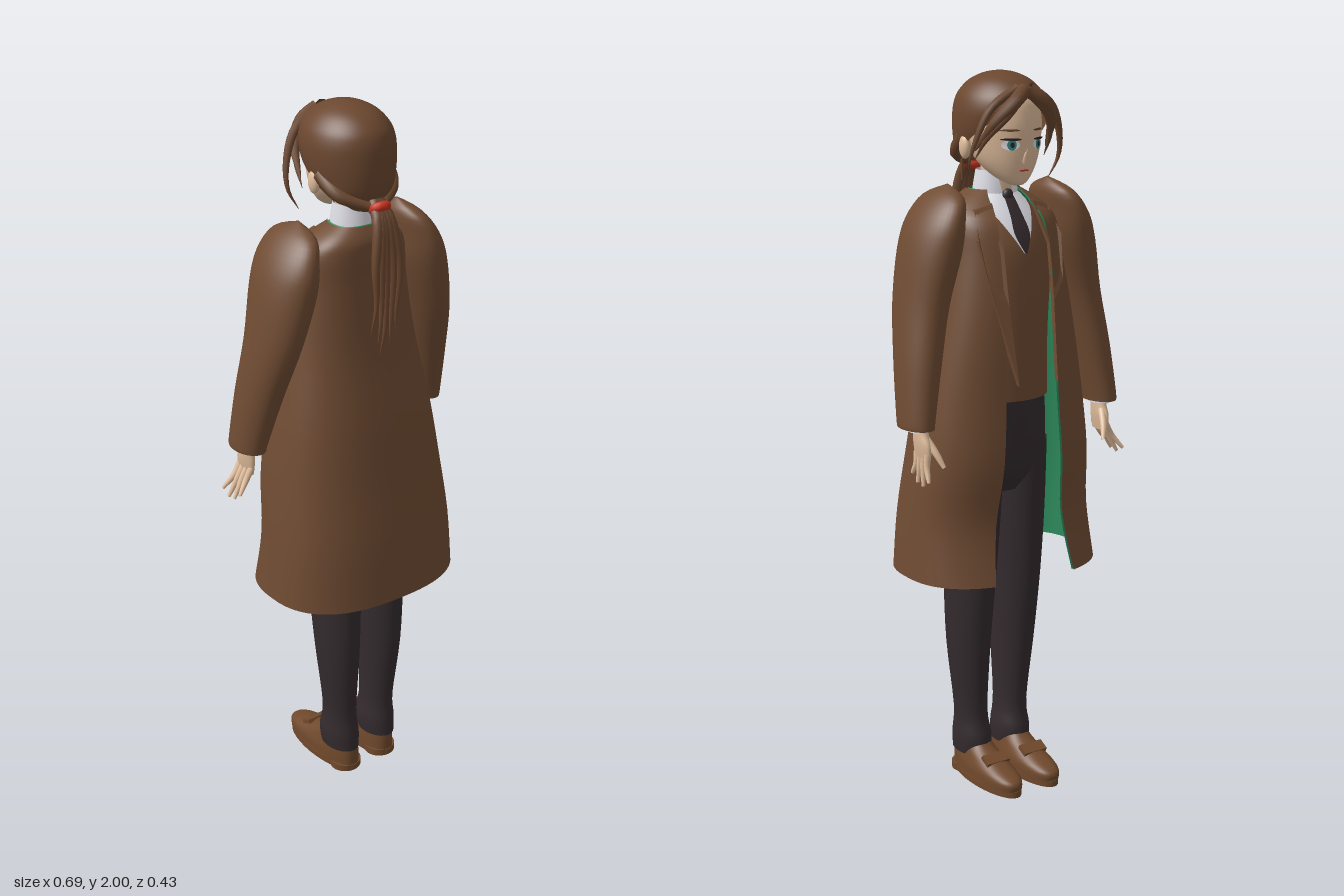
import * as THREE from 'three';
import { mergeVertices } from 'three/addons/utils/BufferGeometryUtils.js';

const mat = (name, color, side = THREE.DoubleSide) => {
  const m = new THREE.MeshStandardMaterial({ color, side });
  m.name = name;
  return m;
};
const V = (p) => new THREE.Vector3(...p);
const spline = (a, b, c, d, t) =>
  b + 0.5 * t * (c - a + t * (2 * a - 5 * b + 4 * c - d + t * (3 * (b - c) + d - a)));

// Surface through horizontal rings, rows ascending: [y, cx, cz, rx, rz, gap]
// gap is the half angle left open towards -z; patch keeps only that part instead.
function loft(rows, { seg = 40, sub = 4, power = 1, grow = 0, patch = false } = {}) {
  const rings = [];
  for (let i = 0; i < rows.length - 1; i++) {
    const at = (k) => rows[Math.min(Math.max(k, 0), rows.length - 1)];
    for (let s = 0; s < sub; s++)
      rings.push(at(i).map((v, k) => spline(at(i - 1)[k], v, at(i + 1)[k], at(i + 2)[k], s / sub)));
  }
  rings.push(rows[rows.length - 1]);
  const bend = (v) => Math.sign(v) * Math.abs(v) ** power;
  const pos = [], index = [];
  rings.forEach(([y, cx, cz, rx, rz, gap = 0], j) => {
    const g = Math.max(0, gap);
    const [from, to] = patch ? [Math.PI - g, Math.PI + g] : [g - Math.PI, Math.PI - g];
    for (let i = 0; i <= seg; i++) {
      const a = from + (to - from) * i / seg;
      pos.push(cx + Math.max(0, rx + grow) * bend(Math.sin(a)), y, cz + Math.max(0, rz + grow) * bend(Math.cos(a)));
      if (j && i) {
        const n = seg + 1, p = (j - 1) * n + i - 1;
        index.push(p, p + 1, p + n, p + 1, p + n + 1, p + n);
      }
    }
  });
  let geo = new THREE.BufferGeometry();
  geo.setAttribute('position', new THREE.Float32BufferAttribute(pos, 3));
  geo.setIndex(index);
  geo = mergeVertices(geo, 1e-5);
  geo.computeVertexNormals();
  return geo;
}

// Tube along a curve, tapering from r to r * tip
function strand(points, r, tip = 0.05, n = 16) {
  const curve = new THREE.CatmullRomCurve3(points.map(V));
  const geo = new THREE.TubeGeometry(curve, n, r, 8);
  const p = geo.attributes.position, v = new THREE.Vector3();
  for (let i = 0; i < p.count; i++) {
    const u = Math.floor(i / 9) / n;
    v.fromBufferAttribute(p, i).lerp(curve.getPointAt(u), 1 - (1 - (1 - tip) * u ** 2));
    p.setXYZ(i, v.x, v.y, v.z);
  }
  return geo;
}

// Thin disc laid on the front of the face
function facePatch(cx, cy, rx, ry, lift) {
  const geo = new THREE.CircleGeometry(1, 20).rotateY(Math.PI).scale(rx, ry, 1).translate(cx, cy, 0);
  const p = geo.attributes.position;
  for (let i = 0; i < p.count; i++)
    p.setZ(i, -0.046 - 0.105 * Math.sqrt(1 - (p.getX(i) / 0.094) ** 2) - lift);
  geo.computeVertexNormals();
  return geo;
}

export function createModel() {
  const g = new THREE.Group();
  const coat = mat('coat brown', 0x704c33), hairM = mat('hair brown', 0x6b472f);
  const lining = mat('lining green', 0x2f8f60), cloth = mat('trouser charcoal', 0x342b2e);
  const skin = mat('skin', 0xe0bd9c), shirt = mat('shirt white', 0xe6e6ee);
  const red = mat('tie red', 0xc8321f), leather = mat('shoe leather', 0x70492c);
  const iris = mat('eye teal', 0x2f8580), dark = mat('dark', 0x2a2024);
  const add = (name, geo, m) => {
    const mesh = new THREE.Mesh(geo, m);
    mesh.name = name;
    g.add(mesh);
    return mesh;
  };
  const ball = (x, y, z, rx, ry, rz) => new THREE.SphereGeometry(1, 20, 14).scale(rx, ry, rz).translate(x, y, z);

  // Long open coat: [y, cz, rx, rz, half opening]
  const coatRows = [
    [0.64, 0, 0.288, 0.217, 0.13], [0.8, 0.008, 0.276, 0.192, 0.11], [0.97, -0.014, 0.26, 0.186, 0.095],
    [1.15, -0.025, 0.234, 0.168, 0.085], [1.35, -0.04, 0.195, 0.145, 0.08], [1.52, -0.036, 0.166, 0.126, 0.08],
    [1.61, -0.025, 0.156, 0.112, 0.075], [1.655, -0.005, 0.125, 0.088, 0.065], [1.69, 0.005, 0.072, 0.058, 0.05],
  ].map(([y, cz, rx, rz, w]) => [y, 0, cz, rx, rz, Math.asin((w / rx) ** 1.25)]);
  add('coat', loft(coatRows, { seg: 64, power: 0.8 }), coat);
  add('coatLining', loft(coatRows, { seg: 64, power: 0.8, grow: -0.006 }), lining);

  // Waistcoat, shirt front and necktie share the same torso rings
  const torso = [
    [1.13, 0, -0.03, 0.135, 0.118], [1.3, 0, -0.036, 0.128, 0.12], [1.45, 0, -0.036, 0.138, 0.118],
    [1.53, 0, -0.034, 0.138, 0.112], [1.58, 0, -0.028, 0.132, 0.1], [1.63, 0, -0.015, 0.11, 0.082],
    [1.68, 0, -0.002, 0.06, 0.056],
  ];
  const bib = (gaps) => torso.slice(3).map((r, i) => [...r, gaps[i]]);
  add('waistcoat', loft(torso), coat);
  add('shirtFront', loft(bib([0.02, 0.24, 0.55, 1.2]), { patch: true, grow: 0.004 }), shirt);
  add('necktie', loft(bib([0.02, 0.17, 0.16, 0.2]), { patch: true, grow: 0.009, seg: 8 }), cloth);
  add('necktieKnot', ball(0, 1.675, -0.066, 0.016, 0.018, 0.012), cloth);
  add('neck', new THREE.CylinderGeometry(0.042, 0.045, 0.14, 24).translate(0, 1.71, -0.012), skin);
  add('shirtCollar', loft([[1.665, 0, -0.004, 0.064, 0.06, 0.15], [1.7, 0, -0.005, 0.06, 0.056, 0.3],
    [1.74, 0, -0.006, 0.054, 0.05, 0.5]]), shirt);
  add('trouserSeat', loft([[0.86, 0, -0.005, 0.1, 0.07], [0.93, 0, -0.01, 0.142, 0.105],
    [1.06, 0, -0.02, 0.14, 0.108], [1.18, 0, -0.03, 0.122, 0.105]]), cloth);

  for (const s of [1, -1]) {
    const side = s > 0 ? 'left' : 'right';
    const mirror = (rows) => rows.map(([y, x, ...r]) => [y, s * x, ...r]);
    const path = (pts) => pts.map(([x, y, z]) => [s * x, y, z]);

    // Puffed sleeve with lining and cuff
    const sleeve = mirror([
      [1.085, 0.3, -0.078, 0.042, 0.066], [1.11, 0.298, -0.075, 0.045, 0.068], [1.25, 0.276, -0.05, 0.056, 0.082],
      [1.4, 0.247, -0.022, 0.064, 0.1], [1.54, 0.216, -0.018, 0.07, 0.118], [1.62, 0.198, -0.02, 0.058, 0.116],
      [1.68, 0.174, -0.022, 0.036, 0.085], [1.712, 0.16, -0.022, 0, 0],
    ]);
    add(side + 'Sleeve', loft(sleeve), coat);
    add(side + 'SleeveLining', loft(sleeve.slice(0, 3), { grow: -0.005 }), lining);
    add(side + 'Cuff', loft(mirror([[1.076, 0.298, -0.085, 0.026, 0.038], [1.13, 0.296, -0.08, 0.028, 0.04]])), shirt);

    // Hand: the right one spreads its fingers outward
    add(side + 'Palm', loft(mirror([[1.0, 0.293, -0.1, 0.009, 0.034], [1.04, 0.293, -0.098, 0.016, 0.037],
      [1.08, 0.293, -0.09, 0.018, 0.026], [1.15, 0.29, -0.08, 0.02, 0.024]])), skin);
    const out = s > 0 ? 0.006 : 0.05;
    for (let i = 0; i < 4; i++) {
      const z = -0.126 + i * 0.018, low = [0.945, 0.93, 0.935, 0.955][i];
      add(side + 'Finger', strand(path([[0.293, 1.02, z], [0.294 + out * 0.4, 0.985, z],
        [0.294 + out, low, z + (i - 1.5) * 0.01]]), 0.0095, 0.5, 8), skin);
    }
    add(side + 'Thumb', strand(path([[0.29, 1.06, -0.11], [0.275, 1.02, -0.14], [0.262, 0.985, -0.157]]), 0.011, 0.5, 8), skin);

    // Pointed lapel, bent to lie on the coat front
    const shape = new THREE.Shape([[0.065, 1.66], [0.115, 1.645], [0.132, 1.57], [0.118, 1.45], [0.062, 1.19], [0.072, 1.4], [0.074, 1.55]]
      .map(([x, y]) => new THREE.Vector2(s * x, y)));
    const lapel = new THREE.ExtrudeGeometry(shape, { depth: 0.014, bevelEnabled: false });
    const p = lapel.attributes.position;
    for (let i = 0; i < p.count; i++) {
      const x = Math.abs(p.getX(i)), y = p.getY(i);
      p.setZ(i, p.getZ(i) - 0.216 + (y - 1.19) * 0.165 + Math.max(0, x - 0.08) * 0.4 + Math.max(0, y - 1.56) * 0.5);
    }
    lapel.computeVertexNormals();
    add(side + 'Lapel', lapel, coat);

    // Trouser leg
    add(side + 'TrouserLeg', loft(mirror([
      [0.07, 0.066, 0.018, 0.047, 0.07], [0.12, 0.066, 0.016, 0.05, 0.07], [0.2, 0.068, 0.02, 0.043, 0.06],
      [0.4, 0.075, 0.02, 0.055, 0.08], [0.6, 0.076, 0.01, 0.063, 0.095], [0.8, 0.074, 0, 0.071, 0.1],
      [1.0, 0.07, -0.01, 0.072, 0.104],
    ])), cloth);

    // Shoe: flat sole, heel and slip-on upper
    add(side + 'ShoeUpper', loft(mirror([
      [0.018, 0.064, -0.062, 0.052, 0.15], [0.045, 0.064, -0.06, 0.051, 0.148], [0.07, 0.064, -0.025, 0.045, 0.112],
      [0.092, 0.064, 0.003, 0.04, 0.08], [0.112, 0.064, 0.014, 0.035, 0.06],
    ]), { power: 0.85 }), leather);
    const sole = new THREE.CylinderGeometry(1, 1, 0.018, 32);
    add(side + 'ShoeSole', sole.scale(0.055, 1, 0.153).translate(s * 0.064, 0.011, -0.062), leather);
    add(side + 'ShoeHeel', new THREE.CylinderGeometry(0.046, 0.046, 0.02, 24).translate(s * 0.064, 0.01, 0.043), leather);
    add(side + 'ShoeStrap', new THREE.BoxGeometry(0.075, 0.012, 0.035).rotateX(-0.45).translate(s * 0.064, 0.079, -0.105), leather);

    // Face details
    add(side + 'Ear', ball(s * 0.108, 1.805, -0.025, 0.014, 0.032, 0.02), skin);
    add(side + 'EyeWhite', facePatch(s * 0.042, 1.815, 0.021, 0.014, 0.004), shirt);
    add(side + 'Iris', facePatch(s * 0.041, 1.815, 0.011, 0.014, 0.006), iris);
    add(side + 'Pupil', facePatch(s * 0.041, 1.815, 0.005, 0.007, 0.008), dark);
    add(side + 'Eyelash', facePatch(s * 0.043, 1.829, 0.024, 0.0035, 0.009), dark);
    add(side + 'Eyebrow', facePatch(s * 0.044, 1.852, 0.024, 0.003, 0.005), hairM);

    // Parted fringe and loose side locks
    add(side + 'Fringe', strand(path([[0.005, 1.955, -0.15], [0.045, 1.925, -0.163], [0.09, 1.87, -0.135], [0.112, 1.8, -0.08]]), 0.02, 0.1), hairM);
    add(side + 'FringeInner', strand(path([[0.012, 1.945, -0.152], [0.06, 1.895, -0.158], [0.1, 1.83, -0.115], [0.11, 1.775, -0.075]]), 0.013), hairM);
    add(side + 'SideLock', strand(path([[0.02, 1.96, -0.14], [0.095, 1.91, -0.13], [0.132, 1.83, -0.115],
      [s > 0 ? 0.143 : 0.138, 1.77, -0.1], [s > 0 ? 0.135 : 0.112, s > 0 ? 1.745 : 1.715, -0.09]]), 0.013), hairM);
    add(side + 'NapeHair', strand(path([[0.1, 1.83, -0.01], [0.085, 1.785, 0.05], [0.02, 1.752, 0.1]]), 0.022, 0.5), hairM);
  }

  // Head and hair
  add('face', loft([
    [1.704, 0, -0.105, 0, 0], [1.709, 0, -0.104, 0.02, 0.024], [1.73, 0, -0.083, 0.05, 0.055], [1.77, 0, -0.058, 0.079, 0.089],
    [1.82, 0, -0.046, 0.094, 0.105], [1.88, 0, -0.04, 0.1, 0.11], [1.94, 0, -0.04, 0.078, 0.088], [1.97, 0, -0.04, 0, 0],
  ]), skin);
  add('nose', new THREE.ConeGeometry(0.011, 0.04, 10).rotateX(-0.5).translate(0, 1.787, -0.15), skin);
  add('mouth', new THREE.BoxGeometry(0.026, 0.004, 0.008).translate(0, 1.747, -0.139), red);
  add('hair', loft([
    [1.735, 0, 0.045, 0.04, 0.042, 1.7], [1.78, 0, 0.005, 0.097, 0.098, 1.6], [1.83, 0, -0.016, 0.115, 0.126, 1.25],
    [1.88, 0, -0.027, 0.12, 0.138, 0.75], [1.915, 0, -0.03, 0.116, 0.138, 0.3], [1.945, 0, -0.03, 0.103, 0.126, 0],
    [1.975, 0, -0.03, 0.075, 0.094, 0], [1.994, 0, -0.03, 0.037, 0.046, 0], [2.0, 0, -0.03, 0, 0, 0],
  ], { seg: 56 }), hairM);
  add('earring', strand([[0.117, 1.775, -0.025], [0.118, 1.75, -0.025], [0.117, 1.718, -0.025]], 0.004, 0.6, 6), leather);

  // Ponytail with its tie
  add('hairTie', new THREE.TorusGeometry(0.018, 0.013, 10, 20).rotateX(1.1).translate(0, 1.75, 0.108), red);
  [[-0.045, 1.42, 0.135], [-0.025, 1.39, 0.14], [-0.01, 1.35, 0.128], [0.015, 1.38, 0.138], [0.038, 1.41, 0.132]]
    .forEach(([x, y, z]) => add('ponytailStrand', strand([[x * 0.2, 1.765, 0.095], [x * 0.5, 1.72, 0.13],
      [x * 0.9, 1.6, 0.148], [x * 0.8, y + 0.08, 0.146], [x, y, z]], 0.015), hairM));
  return g;
}
